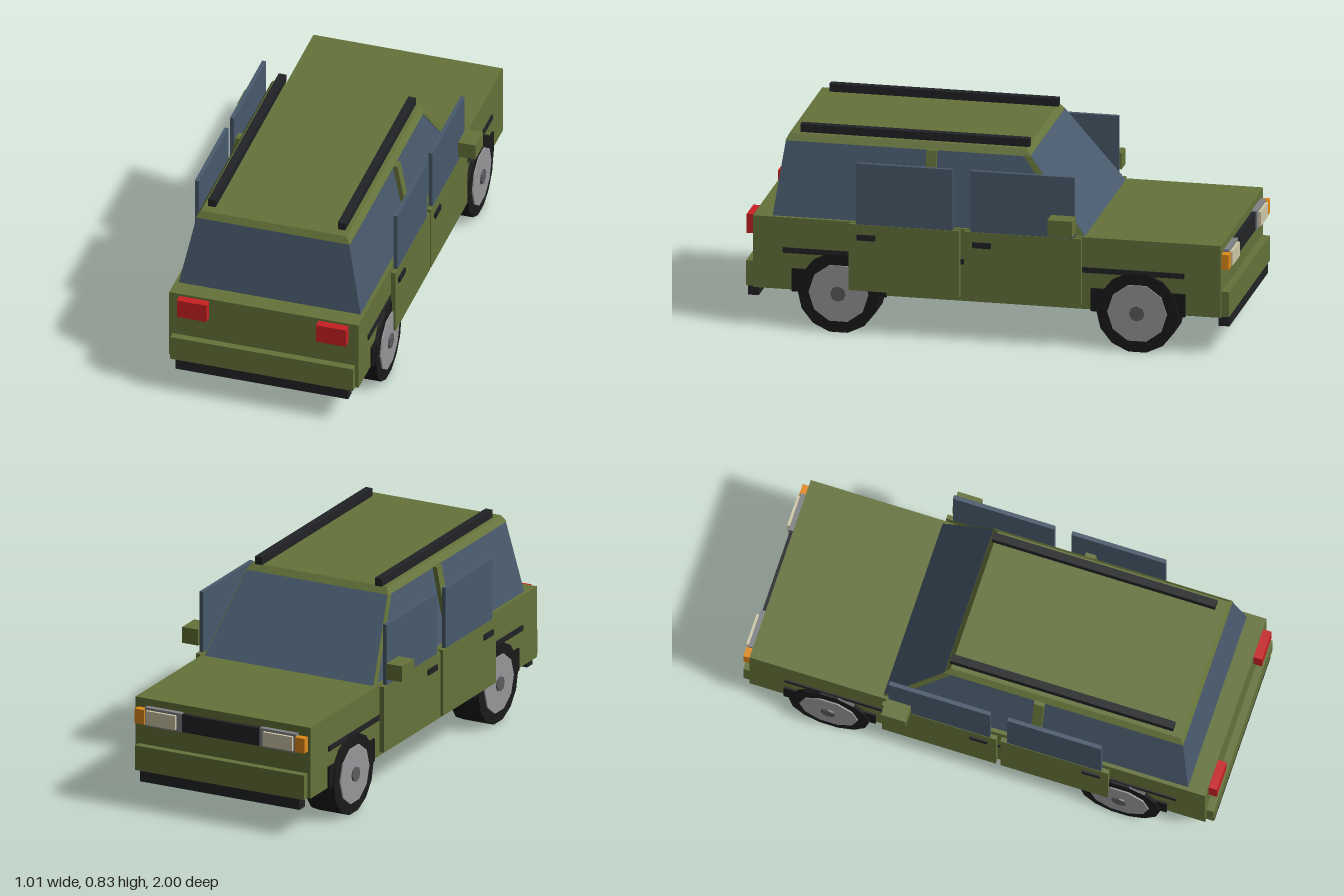
import * as THREE from 'three';

const mat = (color) => new THREE.MeshStandardMaterial({ color, flatShading: true });
const M = {
  paint: mat(0x65733a), glass: mat(0x485a6c), black: mat(0x222326), tyre: mat(0x1a1a1a),
  rim: mat(0x96969a), hub: mat(0x5c5c60), red: mat(0xc82023), amber: mat(0xe08a1a),
  lens: mat(0xd0c8a8), bezel: mat(0x808285),
};

export function createModel() {
  const car = new THREE.Group();
  car.name = 'car';

  const add = (name, geometry, material) => {
    const mesh = new THREE.Mesh(geometry, material);
    mesh.name = name;
    car.add(mesh);
    return mesh;
  };

  // Box given by its limits on each axis
  const box = (name, material, [x0, x1], [y0, y1], [z0, z1]) => {
    const g = new THREE.BoxGeometry(x1 - x0, y1 - y0, z1 - z0);
    g.translate((x0 + x1) / 2, (y0 + y1) / 2, (z0 + z1) / 2);
    return add(name, g, material);
  };

  // The same box on both sides of the car
  const pair = (name, material, [x0, x1], y, z) => {
    box(name + 'Left', material, [x0, x1], y, z);
    box(name + 'Right', material, [-x1, -x0], y, z);
  };

  // Box whose top and bottom differ: each end is { y, x: half width, z: [back, front] }
  const taper = (name, material, low, high) => {
    const g = new THREE.BoxGeometry(2, 2, 2);
    const p = g.attributes.position;
    for (let i = 0; i < p.count; i++) {
      const end = p.getY(i) > 0 ? high : low;
      p.setXYZ(i, p.getX(i) * end.x, end.y, end.z[p.getZ(i) > 0 ? 1 : 0]);
    }
    g.computeVertexNormals();
    return add(name, g, material);
  };

  // Lower body, glasshouse, pillars and roof
  box('body', M.paint, [-0.4, 0.4], [0.167, 0.47], [-0.965, 0.965]);
  taper('glasshouse', M.glass,
    { y: 0.47, x: 0.384, z: [-0.402, 0.887] }, { y: 0.775, x: 0.322, z: [-0.165, 0.845] });
  taper('middlePillar', M.paint,
    { y: 0.47, x: 0.4, z: [0.22, 0.262] }, { y: 0.775, x: 0.342, z: [0.22, 0.262] });
  taper('windscreenPillars', M.paint,
    { y: 0.47, x: 0.387, z: [-0.4, -0.37] }, { y: 0.775, x: 0.325, z: [-0.163, -0.133] });
  taper('roof', M.paint,
    { y: 0.772, x: 0.326, z: [-0.167, 0.847] }, { y: 0.8, x: 0.308, z: [-0.143, 0.833] });
  pair('roofRail', M.black, [0.258, 0.29], [0.8, 0.833], [-0.152, 0.793]);

  // Doors with upright windows and handles
  const doors = [
    { name: 'front', panel: [-0.395, 0.088], window: [-0.367, 0.062], handle: [-0.024, 0.052] },
    { name: 'rear', panel: [0.107, 0.563], window: [0.135, 0.533], handle: [0.453, 0.53] },
  ];
  for (const d of doors) {
    pair(d.name + 'Door', M.paint, [0.411, 0.43], [0.19, 0.47], d.panel);
    pair(d.name + 'DoorWindow', M.glass, [0.411, 0.428], [0.47, 0.727], d.window);
    pair(d.name + 'DoorHandle', M.black, [0.428, 0.438], [0.405, 0.428], d.handle);
  }
  pair('mirror', M.paint, [0.43, 0.503], [0.497, 0.565], [-0.375, -0.272]);
  pair('sideTrim', M.black, [0.395, 0.406], [0.322, 0.344], [-0.815, 0.842]);

  // Bumpers at both ends
  for (const [end, s] of [['rear', 1], ['front', -1]]) {
    const span = (a, b) => (s > 0 ? [a, b] : [-b, -a]);
    box(end + 'Bumper', M.paint, [-0.386, 0.386], [0.168, 0.273], span(0.955, 0.996));
    box(end + 'BumperStrip', M.black, [-0.365, 0.365], [0.122, 0.17], span(0.948, 0.993));
  }

  // Lights and grille
  pair('tailLight', M.red, [0.231, 0.357], [0.38, 0.46], [0.96, 1]);
  pair('headlightSurround', M.bezel, [0.18, 0.345], [0.36, 0.44], [-0.988, -0.96]);
  pair('headlightLens', M.lens, [0.2, 0.335], [0.37, 0.43], [-1, -0.98]);
  pair('indicator', M.amber, [0.345, 0.388], [0.367, 0.43], [-0.995, -0.95]);
  box('grille', M.black, [-0.18, 0.18], [0.36, 0.435], [-0.982, -0.96]);

  // Wheels with rim and hub, and the dark arch behind each
  const disc = (r, x0, x1, sides) => new THREE.CylinderGeometry(r, r, x1 - x0, sides)
    .rotateZ(-Math.PI / 2).translate((x0 + x1) / 2, 0, 0);
  for (const [end, z] of [['rear', 0.608], ['front', -0.624]]) {
    pair(end + 'Arch', M.tyre, [0.37, 0.408], [0.162, 0.258], [z - 0.195, z + 0.195]);
    for (const [side, s] of [['Left', 1], ['Right', -1]]) {
      const wheel = new THREE.Group();
      wheel.name = end + 'Wheel' + side;
      const parts = [
        ['tyre', disc(0.169, 0.278, 0.415, 14), M.tyre],
        ['rim', disc(0.123, 0.4, 0.421, 10), M.rim],
        ['hub', disc(0.032, 0.41, 0.428, 8), M.hub],
      ];
      for (const [name, g, m] of parts) {
        const mesh = new THREE.Mesh(g, m);
        mesh.name = name;
        wheel.add(mesh);
      }
      wheel.position.set(0, 0.169, z);
      wheel.rotation.y = s > 0 ? 0 : Math.PI;
      car.add(wheel);
    }
  }
  return car;
}
